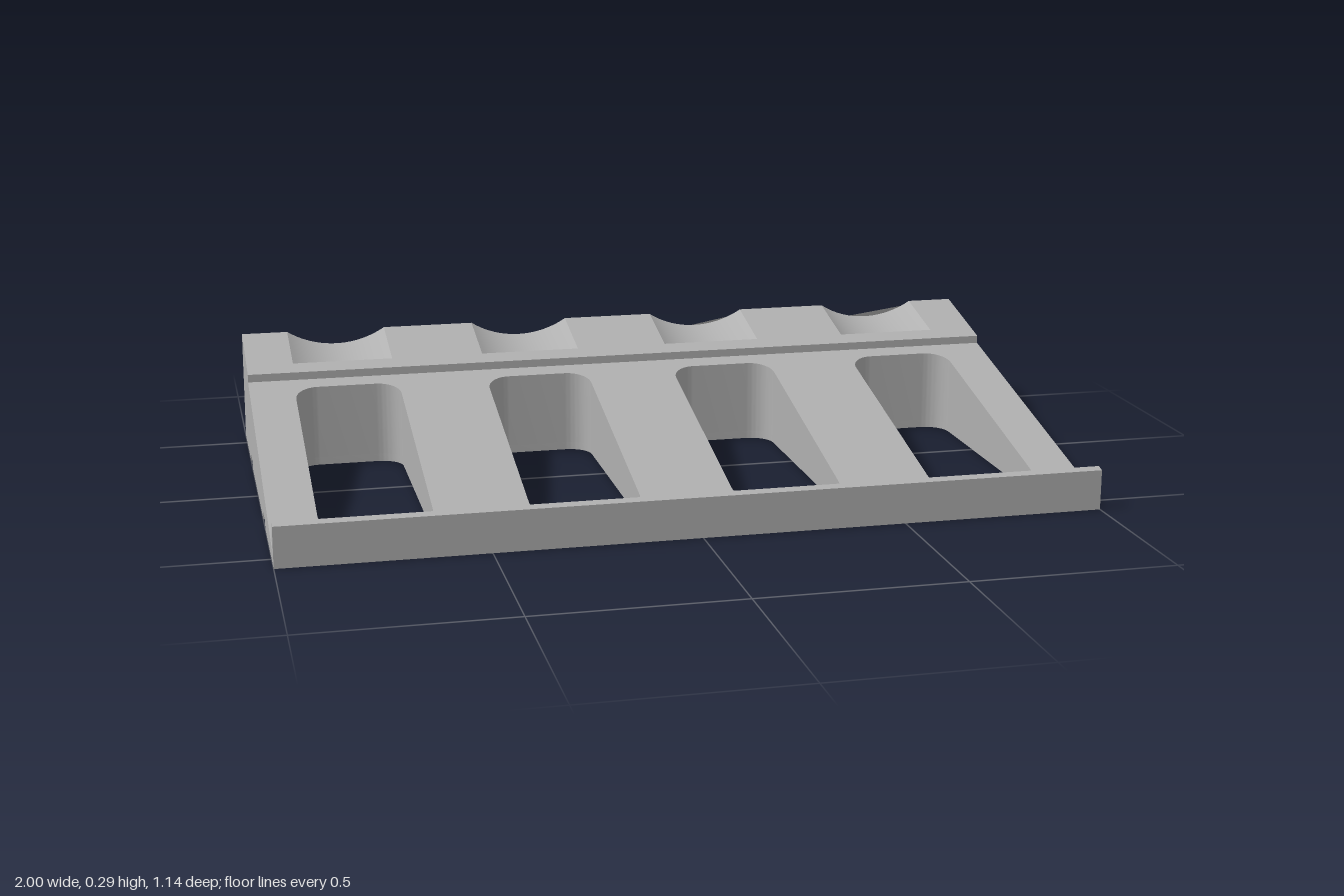
import * as THREE from 'three';
import { toCreasedNormals } from 'three/addons/utils/BufferGeometryUtils.js';

const BASE = 0.02; // height of the foot plate
const FRONT = 0.57, BACK = -0.57;
const CENTRES = [-0.75, -0.25, 0.25, 0.75];

export function createModel() {
  const group = new THREE.Group();
  const grey = new THREE.MeshStandardMaterial({ color: 0xb0b0b0 });
  grey.name = 'plain grey';

  const add = (name, geometry) => {
    const mesh = new THREE.Mesh(toCreasedNormals(geometry, 0.4), grey);
    mesh.name = name;
    group.add(mesh);
  };

  const extrude = (shape, depth) =>
    new THREE.ExtrudeGeometry(shape, { depth, bevelEnabled: false, curveSegments: 8 });

  // Plan shapes lie in x and -z, and are extruded upwards
  const planShape = (points) => new THREE.Shape(points.map(([x, z]) => new THREE.Vector2(x, -z)));
  const raise = (shape, height) => extrude(shape, height).rotateX(-Math.PI / 2);

  // Side profile of [z, y] points, extruded across the full width
  const prism = (points) =>
    extrude(new THREE.Shape(points.map(([z, y]) => new THREE.Vector2(-z, y))), 2)
      .rotateY(Math.PI / 2)
      .translate(-1, 0, 0);

  // Rounded window through the ramp
  const slot = (cx) => {
    const x0 = cx - 0.135, x1 = cx + 0.135, y0 = -0.455, y1 = 0.245, r = 0.06;
    const p = new THREE.Path();
    p.moveTo(x0 + r, y0);
    p.lineTo(x1 - r, y0).absarc(x1 - r, y0 + r, r, -Math.PI / 2, 0, false);
    p.lineTo(x1, y1 - r).absarc(x1 - r, y1 - r, r, 0, Math.PI / 2, false);
    p.lineTo(x0 + r, y1).absarc(x0 + r, y1 - r, r, Math.PI / 2, Math.PI, false);
    p.lineTo(x0, y0 + r).absarc(x0 + r, y0 + r, r, Math.PI, Math.PI * 1.5, false);
    return p;
  };

  // T-shaped connector pocket: (tx, tz) runs along the edge, (nx, nz) points inwards
  const pocket = (x, z, tx, tz, nx, nz) =>
    [[-0.04, 0], [-0.04, 0.03], [-0.065, 0.03], [-0.065, 0.055],
      [0.065, 0.055], [0.065, 0.03], [0.04, 0.03], [0.04, 0]]
      .map(([a, n]) => [x + a * tx + n * nx, z + a * tz + n * nz]);

  // Foot plate with open pockets on the sides and back, closed ones at the front
  const foot = planShape([
    [-1, FRONT], [1, FRONT],
    ...pocket(1, 0.23, 0, -1, -1, 0), ...pocket(1, -0.285, 0, -1, -1, 0),
    [1, BACK],
    ...pocket(0.5, BACK, -1, 0, 0, 1), ...pocket(-0.5, BACK, -1, 0, 0, 1),
    [-1, BACK],
    ...pocket(-1, -0.285, 0, 1, 1, 0), ...pocket(-1, 0.23, 0, 1, 1, 0),
  ]);
  foot.holes = CENTRES.map(slot);
  for (const x of [-0.5, 0.5]) {
    foot.holes.push(planShape(pocket(x, FRONT - 0.008, 1, 0, 0, -1)));
  }
  add('footPlate', raise(foot, BASE));

  // Sloping deck with four windows
  const deck = planShape([[-1, 0.535], [1, 0.535], [1, -0.29], [-1, -0.29]]);
  deck.holes = CENTRES.map(slot);
  const deckGeo = raise(deck, 1);
  const dp = deckGeo.attributes.position;
  for (let i = 0; i < dp.count; i++) {
    const slope = 0.03 + ((0.535 - dp.getZ(i)) / 0.825) * 0.19;
    dp.setY(i, dp.getY(i) > 0.5 ? slope : BASE);
  }
  deckGeo.computeVertexNormals();
  add('slopingDeck', deckGeo);

  // Front retaining lip
  add('frontLip', prism([[FRONT, BASE], [FRONT, 0.1], [0.55, 0.105], [0.535, 0.03], [0.535, BASE]]));

  // Raised step in front of the cradles
  add('rearStep', prism([[-0.29, BASE], [-0.29, 0.24], [-0.34, 0.252], [-0.394, BASE]]));

  // Rear rest: scalloped section, swept along the slope to the leaning back face
  const half = 0.13, depth = 0.04;
  const radius = (half * half + depth * depth) / (2 * depth);
  const angle = Math.asin(half / radius);
  const section = new THREE.Shape();
  section.moveTo(-1, -1).lineTo(1, -1).lineTo(1, 0);
  for (const cx of [...CENTRES].reverse()) {
    for (let i = 0; i <= 20; i++) {
      const a = angle * (1 - i / 10);
      section.lineTo(cx + radius * Math.sin(a), Math.min(0, radius - depth - radius * Math.cos(a)));
    }
  }
  section.lineTo(-1, 0);
  const restGeo = extrude(section, 1);
  const rp = restGeo.attributes.position;
  const ends = {
    front: { top: [-0.34, 0.252], bottom: [-0.394, BASE], drop: 0.2382 },
    back: { top: [-0.525, 0.295], bottom: [BACK, BASE], drop: 0.2781 },
  };
  for (let i = 0; i < rp.count; i++) {
    const { top, bottom, drop } = rp.getZ(i) > 0.5 ? ends.front : ends.back;
    const k = Math.min(1, -rp.getY(i) / drop);
    rp.setY(i, top[1] + (bottom[1] - top[1]) * k);
    rp.setZ(i, top[0] + (bottom[0] - top[0]) * k);
  }
  restGeo.computeVertexNormals();
  add('scallopedRearRest', restGeo);

  return group;
}
